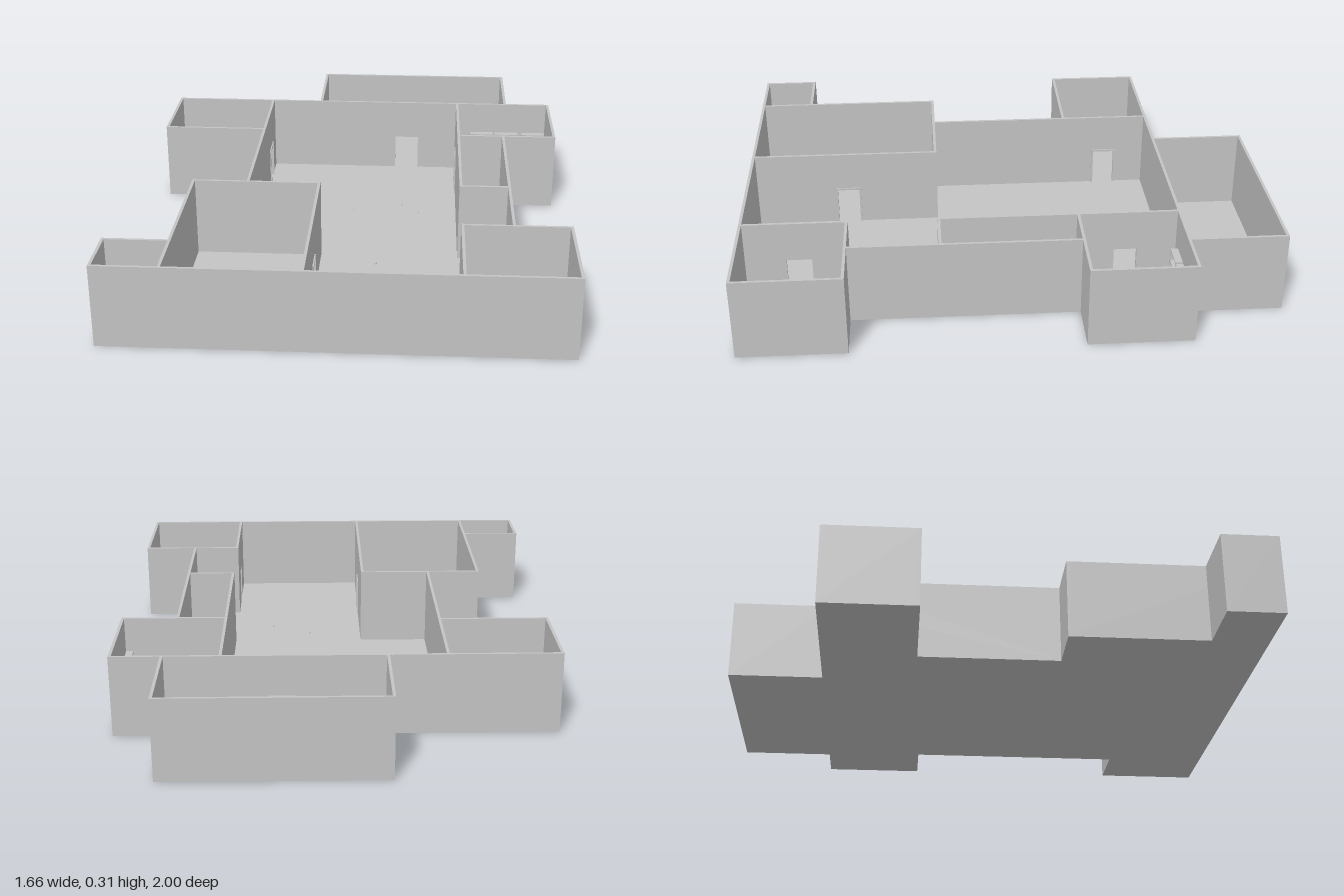
import * as THREE from 'three';

const H = 0.31, T = 0.011, DOOR_H = 0.155, FLOOR = 0.005;

export function createModel() {
  const group = new THREE.Group();
  const plaster = new THREE.MeshStandardMaterial({ color: 0xc4c4c4 });
  plaster.name = 'plainGrey';

  const add = (name, geometry, parent = group) => {
    const mesh = new THREE.Mesh(geometry, plaster);
    mesh.name = name;
    parent.add(mesh);
    return mesh;
  };
  const box = (name, w, h, d, x, y, z, parent) =>
    add(name, new THREE.BoxGeometry(w, h, d), parent).position.set(x, y, z);

  // Floor slab following the outer outline of all rooms (x, z)
  const outline = [
    [-0.835, 1], [0.825, 1], [0.825, 0.6], [0.62, 0.6], [0.62, -0.25], [0.83, -0.25],
    [0.83, -0.64], [0.645, -0.64], [0.645, -1], [-0.175, -1], [-0.175, -0.64], [-0.8, -0.64],
    [-0.8, -0.28], [-0.39, -0.28], [-0.39, 0.26], [-0.6, 0.26], [-0.6, 0.785], [-0.835, 0.785],
  ];
  const slab = new THREE.ExtrudeGeometry(
    new THREE.Shape(outline.map(([x, z]) => new THREE.Vector2(x, -z))),
    { depth: FLOOR, bevelEnabled: false });
  slab.rotateX(-Math.PI / 2);
  add('floor', slab);

  // Wall panel from a to b, with an optional doorway notch [start, end]
  const panel = (a, b, door) => {
    const p = [[a, 0], [b, 0], [b, H], [a, H]];
    if (door) {
      const [d0, d1] = door;
      p.splice(1, 0, [d0, 0], [d0, DOOR_H], [d1, DOOR_H], [d1, 0]);
    }
    const g = new THREE.ExtrudeGeometry(
      new THREE.Shape(p.map(([u, v]) => new THREE.Vector2(u, v))),
      { depth: T, bevelEnabled: false });
    return g.translate(0, 0, -T / 2);
  };

  // Walls running sideways: [name, x0, x1, centre z, doorway]
  const acrossWalls = [
    ['frontWall', -0.835, 0.825, 0.9945],
    ['backRoomBackWall', -0.175, 0.645, -0.9945],
    ['hallBackWall', -0.8, 0.83, -0.6345, [0.16, 0.26]],
    ['rightRoomFrontWall', -0.8, -0.38, -0.2855],
    ['storeRoomFrontWall', 0.425, 0.83, -0.2555],
    ['sideRoomFrontWall', 0.425, 0.62, 0.2645],
    ['frontLeftRoomBackWall', 0.425, 0.825, 0.6055],
    ['frontRightRoomBackWall', -0.6, -0.105, 0.2655],
    ['closetBackWall', -0.835, -0.59, 0.7905],
  ];
  for (const [name, x0, x1, z, door] of acrossWalls)
    add(name, panel(x0, x1, door)).position.z = z;

  // Walls running front to back: [name, z0, z1, centre x, doorway]
  const alongWalls = [
    ['backRoomRightWall', -1, -0.63, -0.1695],
    ['backRoomLeftWall', -1, -0.63, 0.6395],
    ['rightRoomOuterWall', -0.64, -0.28, -0.7945],
    ['hallRightWall', -0.64, 0.27, -0.3845, [-0.51, -0.415]],
    ['hallLeftWall', -0.64, 0.27, 0.4305, [-0.485, -0.39]],
    ['storeRoomOuterWall', -0.64, -0.25, 0.8245],
    ['sideRoomOuterWall', -0.25, 0.61, 0.6145],
    ['frontLeftRoomInnerWall', 0.6, 1, 0.4305, [0.74, 0.835]],
    ['frontLeftRoomOuterWall', 0.6, 1, 0.8195],
    ['frontRightRoomInnerWall', 0.26, 1, -0.1105, [0.575, 0.67]],
    ['frontRightRoomOuterWall', 0.26, 1, -0.5945],
    ['closetOuterWall', 0.785, 1, -0.8295],
  ];
  for (const [name, z0, z1, x, door] of alongWalls)
    add(name, panel(z0, z1, door).rotateY(-Math.PI / 2)).position.x = x;

  // Door frames standing proud of the hall walls
  for (const [x, z] of [[-0.381, -0.4625], [0.427, -0.4375], [-0.107, 0.6225]]) {
    const frame = new THREE.Group();
    frame.name = 'doorFrame';
    for (const s of [-1, 1])
      box('doorJamb', 0.014, DOOR_H, 0.008, 0, DOOR_H / 2, s * 0.0475, frame);
    box('doorHead', 0.014, 0.008, 0.103, 0, DOOR_H, 0, frame);
    frame.position.set(x, 0, z);
    group.add(frame);
  }

  // Shelving racks: corner posts and four boards
  const rack = (x, z, length, turn) => {
    const unit = new THREE.Group();
    unit.name = 'shelvingRack';
    const depth = 0.028, height = 0.18;
    for (const sx of [-1, 1])
      for (const sz of [-1, 1])
        box('rackPost', 0.005, height, 0.005,
          sx * (length / 2 - 0.0025), height / 2, sz * (depth / 2 - 0.0025), unit);
    for (let i = 0; i < 4; i++)
      box('rackBoard', length, 0.006, depth, 0, 0.03 + i * 0.049, 0, unit);
    unit.position.set(x, 0, z);
    unit.rotation.y = turn;
    group.add(unit);
  };
  for (const x of [0.54, 0.65, 0.767]) rack(x, -0.613, 0.1, 0);
  for (const z of [-0.54, -0.43, -0.32]) rack(0.803, z, 0.098, Math.PI / 2);

  // Small studs on the hall floor
  for (const [x, z] of [[0, -0.15], [0.2, -0.21], [0.27, -0.135], [0.11, 0.34], [0.27, 0.42]])
    box('floorStud', 0.006, 0.006, 0.006, x, FLOOR + 0.003, z);

  return group;
}
